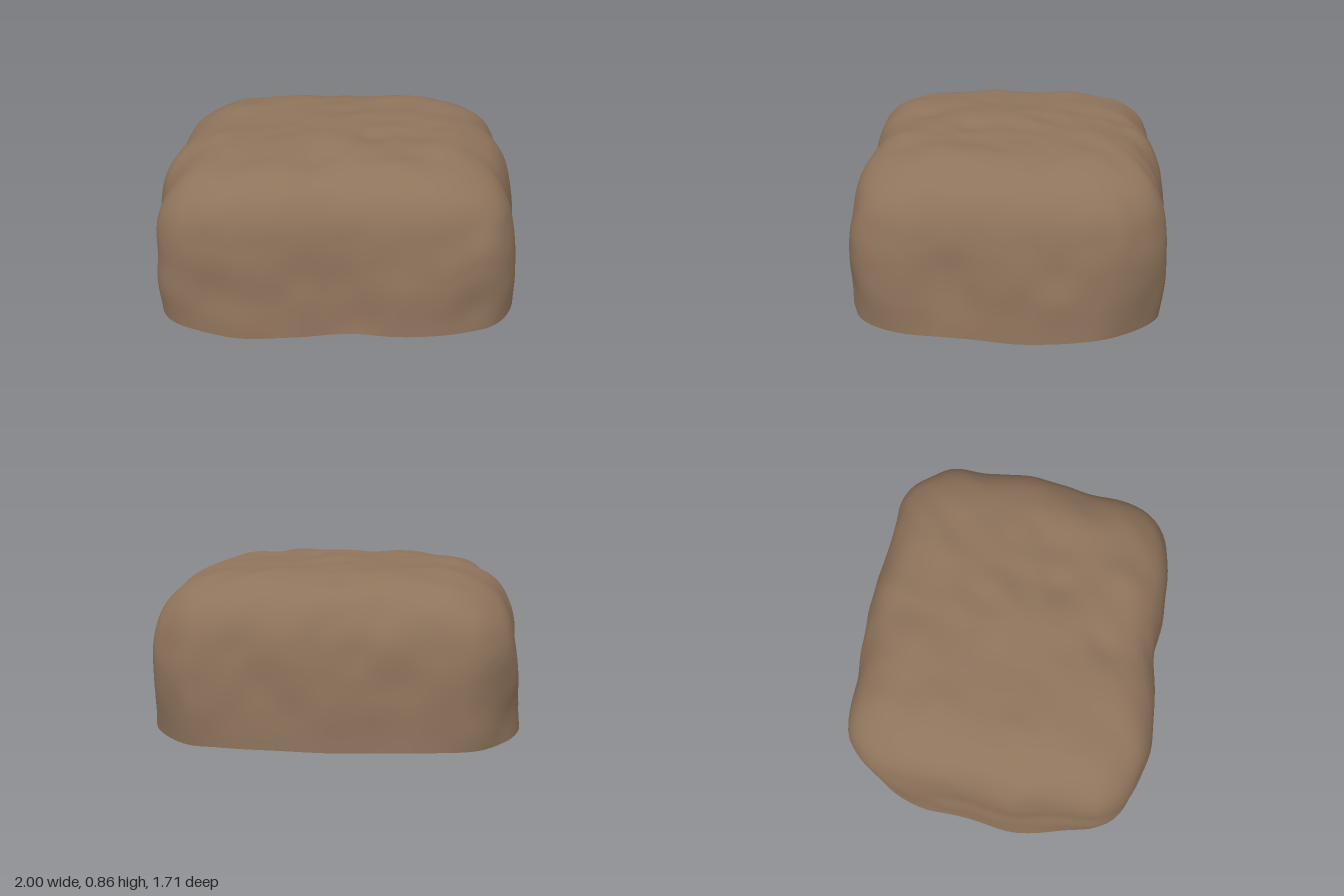
import * as THREE from 'three';
import { mergeVertices } from 'three/addons/utils/BufferGeometryUtils.js';

const AROUND = 160, RINGS = 70, HEIGHT = 0.85;

// widest plan outline (x, z), from the back round by the left side
const OUTLINE = [
  [0, -0.85], [0.3, -0.83], [0.55, -0.82], [0.71, -0.81], [0.85, -0.71], [0.95, -0.55],
  [0.98, -0.35], [1, -0.1], [0.97, 0.1], [0.95, 0.3], [0.94, 0.48], [0.89, 0.63],
  [0.8, 0.73], [0.63, 0.79], [0.32, 0.81], [0, 0.8], [-0.2, 0.83], [-0.5, 0.85],
  [-0.67, 0.81], [-0.83, 0.73], [-0.91, 0.63], [-0.95, 0.42], [-1, 0.18], [-0.97, -0.1],
  [-0.96, -0.4], [-0.92, -0.58], [-0.8, -0.73], [-0.7, -0.79], [-0.4, -0.82]];

// how the outline shrinks (scale, height) towards the top
const PROFILE = [
  [1, 0], [0.988, 0.15], [0.973, 0.3], [0.955, 0.45], [0.92, 0.6], [0.86, 0.7],
  [0.77, 0.77], [0.66, 0.81], [0.5, 0.83], [0.25, 0.84], [0, 0.845]];

// dents and swellings: x, y, z, radius, depth
const DENTS = [
  [0.7, 0.55, 0.76, 0.1, -0.02], [0.76, 0.7, 0.66, 0.2, -0.02], [0.12, 0.08, 0.82, 0.13, -0.02],
  [0.3, 0.24, 0.82, 0.14, 0.012], [-0.62, 0.25, 0.83, 0.15, -0.02], [0.72, 0.12, 0.75, 0.12, -0.02],
  [0.88, 0.05, -0.67, 0.22, -0.02], [-0.9, 0.15, -0.6, 0.14, -0.025], [-0.1, 0.82, 0.5, 0.1, -0.018],
  [0.4, 0.84, 0.15, 0.1, -0.018], [0.2, 0.84, 0.2, 0.09, -0.015], [0.5, 0.84, -0.1, 0.12, 0.012],
  [0.1, 0.84, -0.3, 0.2, 0.01]];

// smooth lattice noise in the range -1 to 1
const hash = (x, y, z) => {
  const n = Math.sin(x * 127.1 + y * 311.7 + z * 74.7) * 43758.5453;
  return (n - Math.floor(n)) * 2 - 1;
};
function noise(x, y, z) {
  const c = [x, y, z].map(Math.floor);
  const f = [x - c[0], y - c[1], z - c[2]].map(t => t * t * (3 - 2 * t));
  let sum = 0;
  for (let i = 0; i < 8; i++) {
    const b = [i & 1, (i >> 1) & 1, i >> 2];
    const w = b.reduce((p, on, k) => p * (on ? f[k] : 1 - f[k]), 1);
    sum += w * hash(c[0] + b[0], c[1] + b[1], c[2] + b[2]);
  }
  return sum;
}

// push a point in or out along the rough outward direction
function weather(p) {
  const out = new THREE.Vector3(p.x, 3 * (p.y / HEIGHT) ** 4, p.z).normalize();
  const lumps = 0.011 * noise(p.x * 4 + 9, p.y * 4, p.z * 4);
  const creases = 0.009 * noise((p.x - p.z) * 4 + 3, p.y * 6 + 5, (p.x + p.z) * 6);
  let d = (lumps + creases) * THREE.MathUtils.smoothstep(p.y, -0.1, 0.25);
  for (const [x, y, z, r, depth] of DENTS) {
    const q = ((p.x - x) ** 2 + (p.y - y) ** 2 + (p.z - z) ** 2) / (r * r);
    d += depth * Math.exp(-q);
  }
  return p.addScaledVector(out, d);
}

function surface(positions, index) {
  const g = new THREE.BufferGeometry();
  g.setAttribute('position', new THREE.Float32BufferAttribute(positions, 3));
  g.setIndex(index);
  return g;
}

export function createModel() {
  const brown = new THREE.MeshStandardMaterial({ color: 0x8f745c });
  brown.name = 'earthy brown';

  const outline = new THREE.CatmullRomCurve3(OUTLINE.map(([x, z]) => new THREE.Vector3(x, 0, z)), true);
  const profile = new THREE.CatmullRomCurve3(PROFILE.map(([s, y]) => new THREE.Vector3(s, y, 0)));
  const rim = outline.getSpacedPoints(AROUND);

  // rings stacked from the ground to the middle of the top
  const points = [];
  for (let j = 0; j <= RINGS; j++) {
    const at = profile.getPointAt(j / RINGS);
    const s = Math.max(0, at.x), y = Math.max(0, at.y), t = y / HEIGHT;
    // corners tuck in at the ground and bulge halfway up
    const bulge = 0.035 * Math.sin(Math.PI * t) - 0.025 * (1 - t);
    // the back stands steeper, and both long sides have fuller shoulders
    const back = 1 + 0.02 * Math.sin(Math.PI * t) + 0.03 * t ** 3, front = 1 + 0.035 * t ** 3;
    for (let i = 0; i < AROUND; i++) {
      const { x, z } = rim[i];
      const corner = THREE.MathUtils.smoothstep(Math.abs(x * z), 0.3, 0.6);
      const k = s * (1 + corner * bulge);
      points.push(weather(new THREE.Vector3(x * k, y, z * k * (z < 0 ? back : front))));
    }
  }

  const index = [];
  for (let j = 0; j < RINGS; j++) {
    for (let i = 0; i < AROUND; i++) {
      const a = j * AROUND + i, b = j * AROUND + (i + 1) % AROUND;
      index.push(a, a + AROUND, b, b, a + AROUND, b + AROUND);
    }
  }
  const bodyGeometry = mergeVertices(surface(points.flatMap(p => p.toArray()), index), 1e-5);
  bodyGeometry.computeVertexNormals();
  const body = new THREE.Mesh(bodyGeometry, brown);
  body.name = 'boulderBody';

  // flat underside
  const foot = [0, 0, 0], fan = [];
  for (let i = 0; i < AROUND; i++) {
    foot.push(points[i].x, 0, points[i].z);
    fan.push(0, i + 1, (i + 1) % AROUND + 1);
  }
  const baseGeometry = surface(foot, fan);
  baseGeometry.computeVertexNormals();
  const base = new THREE.Mesh(baseGeometry, brown);
  base.name = 'flatUnderside';

  const group = new THREE.Group();
  group.name = 'boulder';
  group.add(body, base);
  return group;
}
